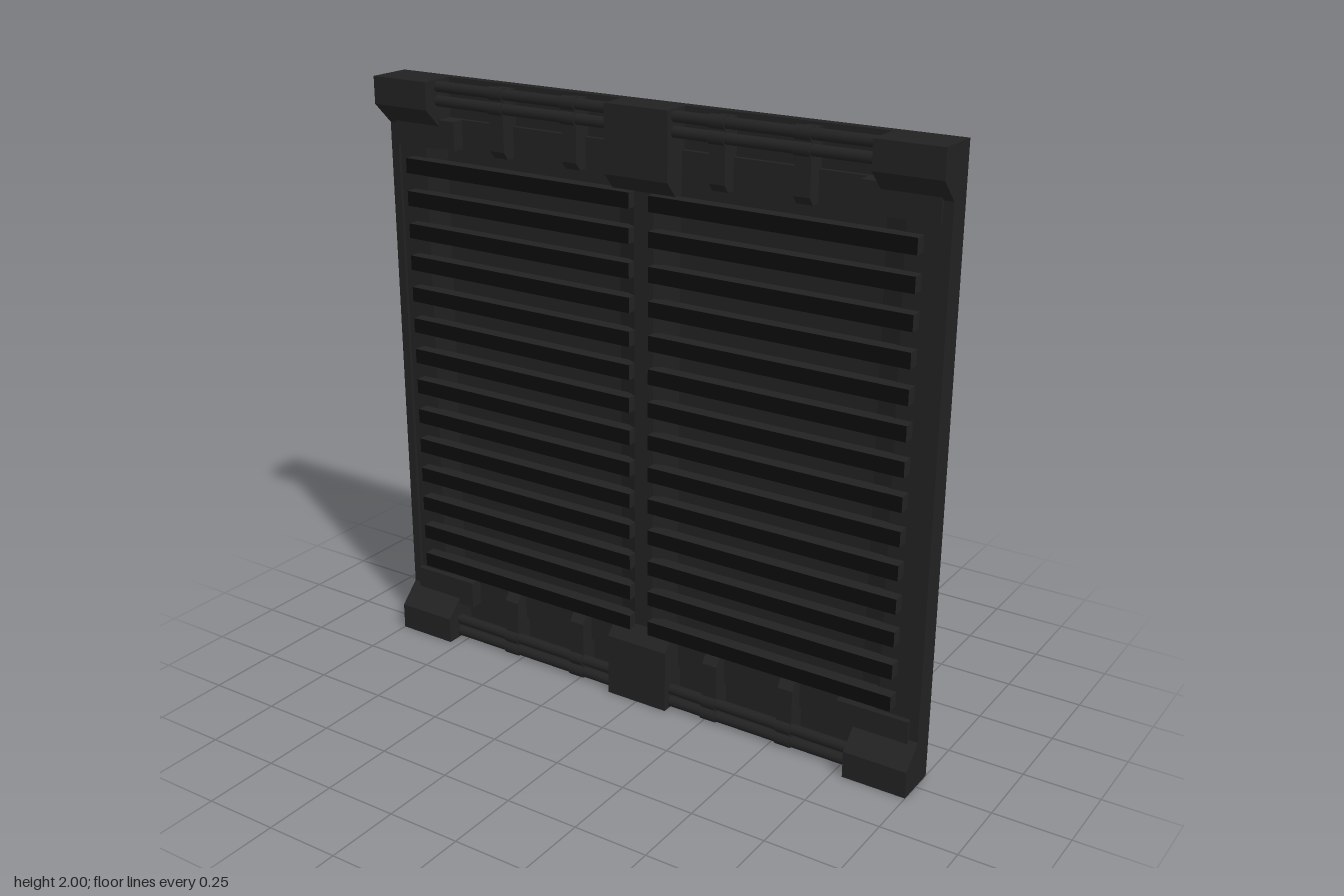
import * as THREE from 'three';

const dark = new THREE.MeshStandardMaterial({ color: 0x222222 });
const black = new THREE.MeshStandardMaterial({ color: 0x0c0c0c });

export function createModel() {
  const root = new THREE.Group();
  const add = (name, geometry, material = dark) => {
    const mesh = new THREE.Mesh(geometry, material);
    mesh.name = name;
    root.add(mesh);
    return mesh;
  };
  // Box given by its limits on each axis
  const box = (name, x0, x1, y0, y1, z0, z1, material) => add(name,
    new THREE.BoxGeometry(x1 - x0, y1 - y0, z1 - z0)
      .translate((x0 + x1) / 2, (y0 + y1) / 2, (z0 + z1) / 2), material);
  const extrude = (points, depth) => new THREE.ExtrudeGeometry(
    new THREE.Shape(points.map(([a, b]) => new THREE.Vector2(a, b))), { depth, bevelEnabled: false });
  // Section in (x, z), running up from y0 to y1
  const upright = (name, points, y0, y1) => add(name,
    extrude(points.map(([x, z]) => [x, -z]), y1 - y0).rotateX(-Math.PI / 2).translate(0, y0, 0));
  // Section in (z, y), running across from x0 to x1
  const across = (name, points, x0, x1) => add(name,
    extrude(points.map(([z, y]) => [-z, y]), x1 - x0).rotateY(Math.PI / 2).translate(x0, 0, 0));

  // Back plate, raised floor and central post
  box('backPlate', -1, 1, 0, 2, -0.075, -0.045);
  box('floor', -0.86, 0.86, 0.13, 1.87, -0.05, -0.03);
  upright('centrePost', [[-0.11, -0.05], [0.11, -0.05], [0.11, -0.03], [0.035, 0.005],
    [-0.035, 0.005], [-0.11, -0.03]], 0.1, 1.9);

  for (const s of [-1, 1]) {
    const span = (a, b) => (s > 0 ? [a, b] : [-b, -a]);

    // Side frame with sloped inner edge and raised outer rim
    upright('sideFrame', [[0.79, -0.05], [1, -0.05], [1, 0.005], [0.97, 0.005], [0.97, -0.005],
      [0.86, -0.005], [0.79, -0.03]].map(([x, z]) => [s * x, z]), 0, 2);

    // Slats, with dark front faces
    for (let i = 0; i < 14; i++) {
      const y = 0.28 + i * 0.11;
      box('slat', ...span(0.035, 0.915), y - 0.025, y + 0.025, -0.01, 0.035,
        [dark, dark, dark, dark, black, dark]);
    }

    // Fittings repeated at the bottom and top edges
    for (const top of [false, true]) {
      const Y = (y) => (top ? 2 - y : y);
      const range = (a, b) => (top ? [2 - b, 2 - a] : [a, b]);
      const flip = (points) => points.map(([z, y]) => [z, Y(y)]);

      across('cornerBlock', flip([[-0.05, 0], [0.075, 0], [0.075, 0.09], [0.005, 0.16], [-0.05, 0.16]]),
        ...span(0.785, 1));
      box('cornerBrace', ...span(0.725, 0.97), ...range(0.13, 0.225), -0.05, 0.015);

      // Rods along the edge
      for (const y of [0.022, 0.068]) {
        add('edgeRod', new THREE.CylinderGeometry(0.018, 0.018, 0.7, 12).rotateZ(Math.PI / 2))
          .position.set(s * 0.45, Y(y), 0.013);
      }

      // Clips holding the rods
      for (const x of [0.265, 0.545]) {
        across('rodClip', flip([[-0.05, 0.01], [0.02, 0.01], [0.02, 0.205], [0, 0.23], [-0.05, 0.23]]),
          ...span(x - 0.027, x + 0.027));
        for (const y of [0.022, 0.068]) {
          add('clipCollar', new THREE.CylinderGeometry(0.022, 0.022, 0.054, 12).rotateZ(Math.PI / 2))
            .position.set(s * x, Y(y), 0.013);
        }
      }
    }
  }

  // Centre blocks at the bottom and top edges
  for (const top of [false, true]) {
    const section = [[-0.05, 0], [0.05, 0], [0.05, 0.215], [0.005, 0.265], [-0.05, 0.265]];
    across('centreBlock', section.map(([z, y]) => [z, top ? 2 - y : y]), -0.113, 0.113);
  }
  return root;
}
